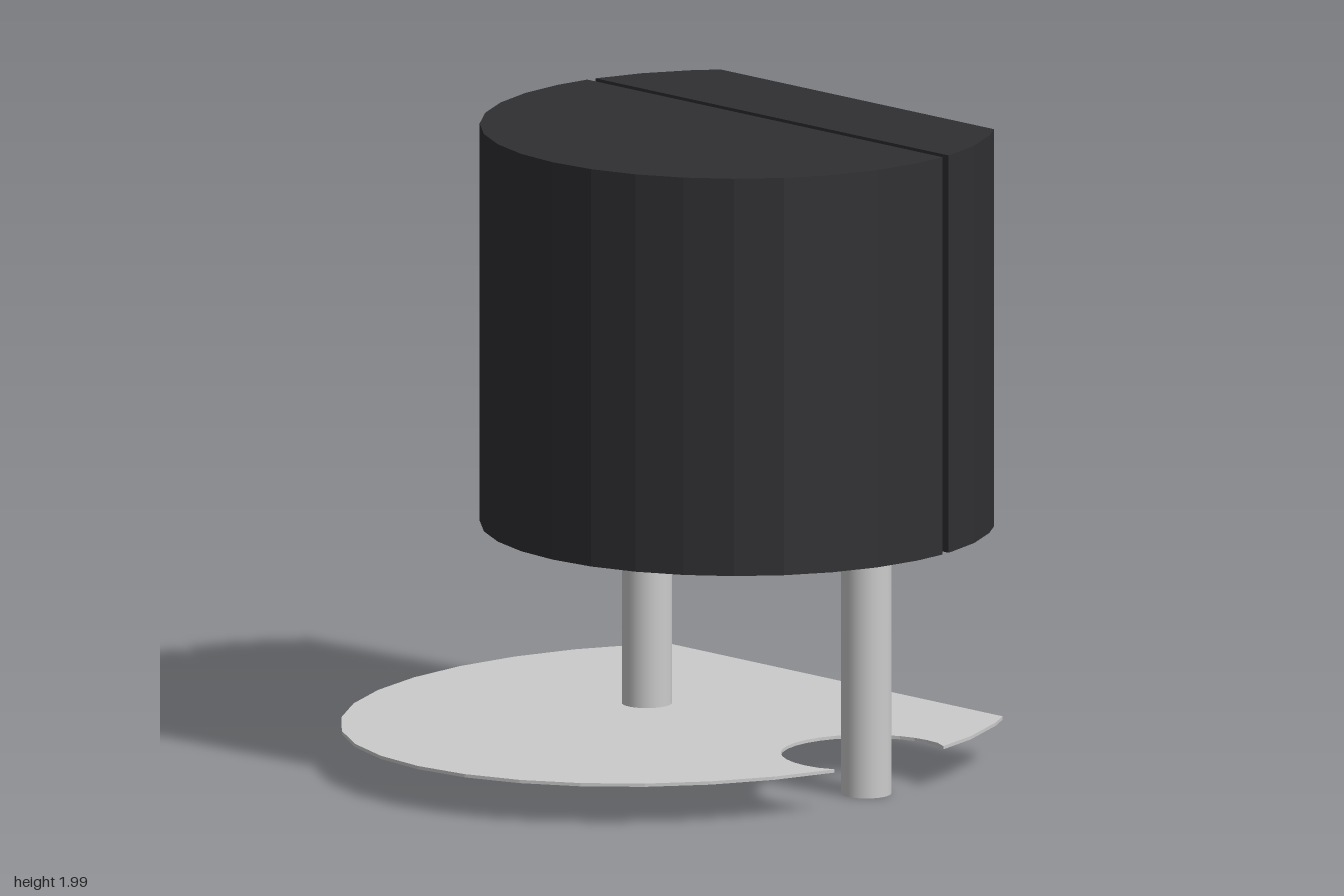
import * as THREE from 'three';

const STEP = Math.PI / 16; // 32-sided outlines

// Points on an ellipse from angle a0 to a1, with vertices at multiples of STEP
function arc(cx, cy, rx, ry, a0, a1) {
  const angles = [a0];
  for (let k = Math.ceil(a0 / STEP + 0.02); k * STEP < a1 - 0.004; k++) angles.push(k * STEP);
  angles.push(a1);
  return angles.map(a => new THREE.Vector2(cx + rx * Math.cos(a), cy + ry * Math.sin(a)));
}

// Upright prism from an outline drawn in (x, -z)
function prism(name, points, y0, y1, material) {
  const geometry = new THREE.ExtrudeGeometry(new THREE.Shape(points), { depth: y1 - y0, bevelEnabled: false });
  geometry.rotateX(-Math.PI / 2).translate(0, y0, 0);
  const mesh = new THREE.Mesh(geometry, material);
  mesh.name = name;
  return mesh;
}

export function createModel() {
  const model = new THREE.Group();
  model.name = 'twoPinComponent';
  const dark = new THREE.MeshStandardMaterial({ color: 0x303033, flatShading: true });
  const grey = new THREE.MeshStandardMaterial({ color: 0xcccccc, flatShading: true });
  const smoothGrey = new THREE.MeshStandardMaterial({ color: 0xcccccc });

  // Body: a cylinder with one flat side, split by a shallow groove
  const body = new THREE.Group();
  body.name = 'body';
  const cx = 0.16, cz = 0.23, r = 0.77, bottom = 0.77, top = 1.985;
  const angleAt = x => Math.acos((x - cx) / r);
  const bodyArc = (a0, a1) => arc(cx, -cz, r, r, a0, a1);
  const grooveL = 0.275, grooveR = 0.305, flat = 0.66;
  const aL = angleAt(grooveL), aR = angleAt(grooveR), aF = angleAt(flat);
  body.add(prism('roundHalf', bodyArc(aL, 2 * Math.PI - aL), bottom, top, dark));
  body.add(prism('flatHalf', [...bodyArc(-aR, -aF), ...bodyArc(aF, aR)], bottom, top, dark));

  // Groove floor, recessed at the top and both ends
  const floor = new THREE.Mesh(new THREE.BoxGeometry(grooveR - grooveL, 1.955 - bottom, 1.445), dark);
  floor.position.set((grooveL + grooveR) / 2, (bottom + 1.955) / 2, 0.2225);
  floor.name = 'grooveFloor';
  body.add(floor);
  model.add(body);

  // Thin base plate: flat-sided ellipse with a round notch around the front pin
  const px = 0.2, pz = -0.08, rx = 1.07, rz = 0.92;
  const notchX = 0.22, notchZ = 0.72, notchR = 0.255;
  const pF = Math.acos((0.87 - px) / rx);
  const tipL = 2 * Math.PI - Math.acos((-0.01 - px) / rx);
  const tipR = 2 * Math.PI - Math.acos((0.45 - px) / rx);
  const notch = arc(notchX, -notchZ, notchR, notchR, -0.37, Math.PI + 0.37).reverse().slice(1, -1);
  model.add(prism('plate', [
    ...arc(px, -pz, rx, rz, pF, tipL),
    ...notch,
    ...arc(px, -pz, rx, rz, tipR, 2 * Math.PI - pF),
  ], 0.12, 0.13, grey));

  // Two pins
  for (const [name, z] of [['frontPin', 0.7], ['backPin', -0.24]]) {
    const pin = new THREE.Mesh(new THREE.CylinderGeometry(0.075, 0.075, 0.78, 32), smoothGrey);
    pin.position.set(0.24, 0.39, z);
    pin.name = name;
    model.add(pin);
  }
  return model;
}
